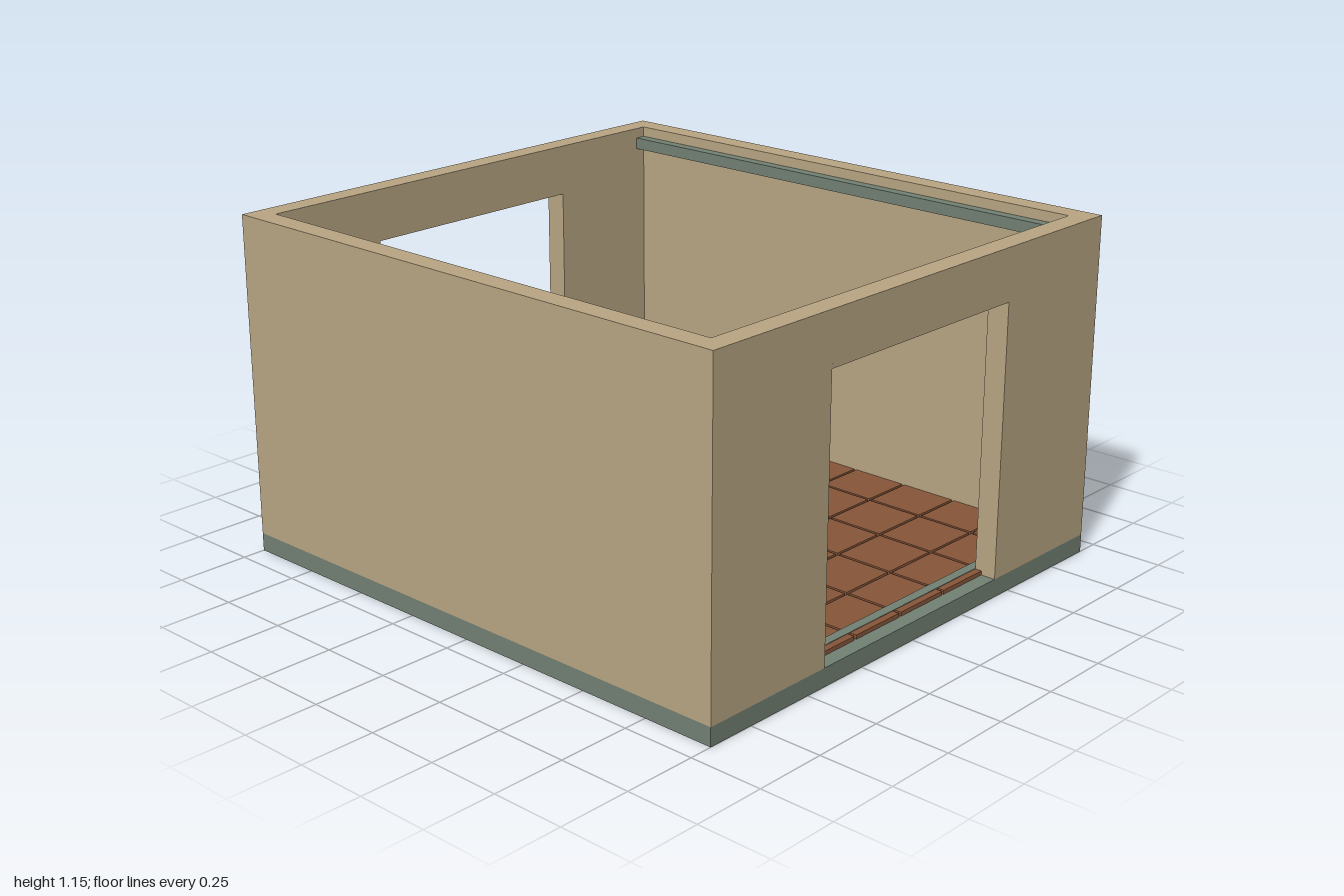
import * as THREE from 'three';

const material = (name, color) => {
  const m = new THREE.MeshStandardMaterial({ color });
  m.name = name;
  return m;
};

export function createModel() {
  const model = new THREE.Group();
  model.name = 'room';
  const plaster = material('tan plaster', 0xb8a583);
  const stone = material('grey green stone', 0x728073);
  const terracotta = material('terracotta', 0x87563a);
  const teal = material('teal', 0x3b705e);

  // Box given by its two opposite corners
  const box = (name, mat, [x0, x1], [y0, y1], [z0, z1], parent = model) => {
    const mesh = new THREE.Mesh(new THREE.BoxGeometry(x1 - x0, y1 - y0, z1 - z0), mat);
    mesh.position.set((x0 + x1) / 2, (y0 + y1) / 2, (z0 + z1) / 2);
    mesh.name = name;
    parent.add(mesh);
  };
  // Mirror a range when the side is negative
  const side = (s, a, b) => (s > 0 ? [a, b] : [-b, -a]);

  const W = 0.92, D = 1, H = 1.155, base = 0.062;
  const innerX = 0.845, innerZ = 0.925, door = 0.425, doorTop = 0.98;

  box('foundationSlab', stone, [-W, W], [0, base], [-D, D]);

  for (const s of [1, -1]) {
    // Solid side walls with a rail high on the inside
    box('sideWall', plaster, side(s, innerX, W), [base, H], [-D, D]);
    box('wallRail', stone, side(s, 0.807, innerX), [1.08, 1.12], [-innerZ, innerZ]);

    // Front and back walls, each with a wide doorway
    const z = side(s, innerZ, D);
    for (const t of [1, -1]) box('doorwayWall', plaster, side(t, door, innerX), [base, H], z);
    box('lintel', plaster, [-door, door], [doorTop, H], z);
    box('threshold', stone, [-innerX, innerX], [base, 0.078], side(s, 0.892, innerZ));
  }

  // Floor tiles with narrow joints
  const floor = new THREE.Group();
  floor.name = 'floorTiles';
  model.add(floor);
  const px = 0.2185, pz = 0.212, joint = 0.005, cols = 8, rows = 9;
  for (let i = 0; i < cols; i++) {
    for (let j = 0; j < rows; j++) {
      const x = (i - cols / 2) * px, z = (j - rows / 2) * pz;
      box('tile', terracotta,
        [Math.max(x + joint, -0.86), Math.min(x + px - joint, 0.86)],
        [base, 0.076], [z + joint, z + pz - joint], floor);
    }
  }

  // Small block hovering over the floor
  box('hoveringBlock', teal, [0.48, 0.675], [0.145, 0.3], [-0.408, -0.212]);

  return model;
}
